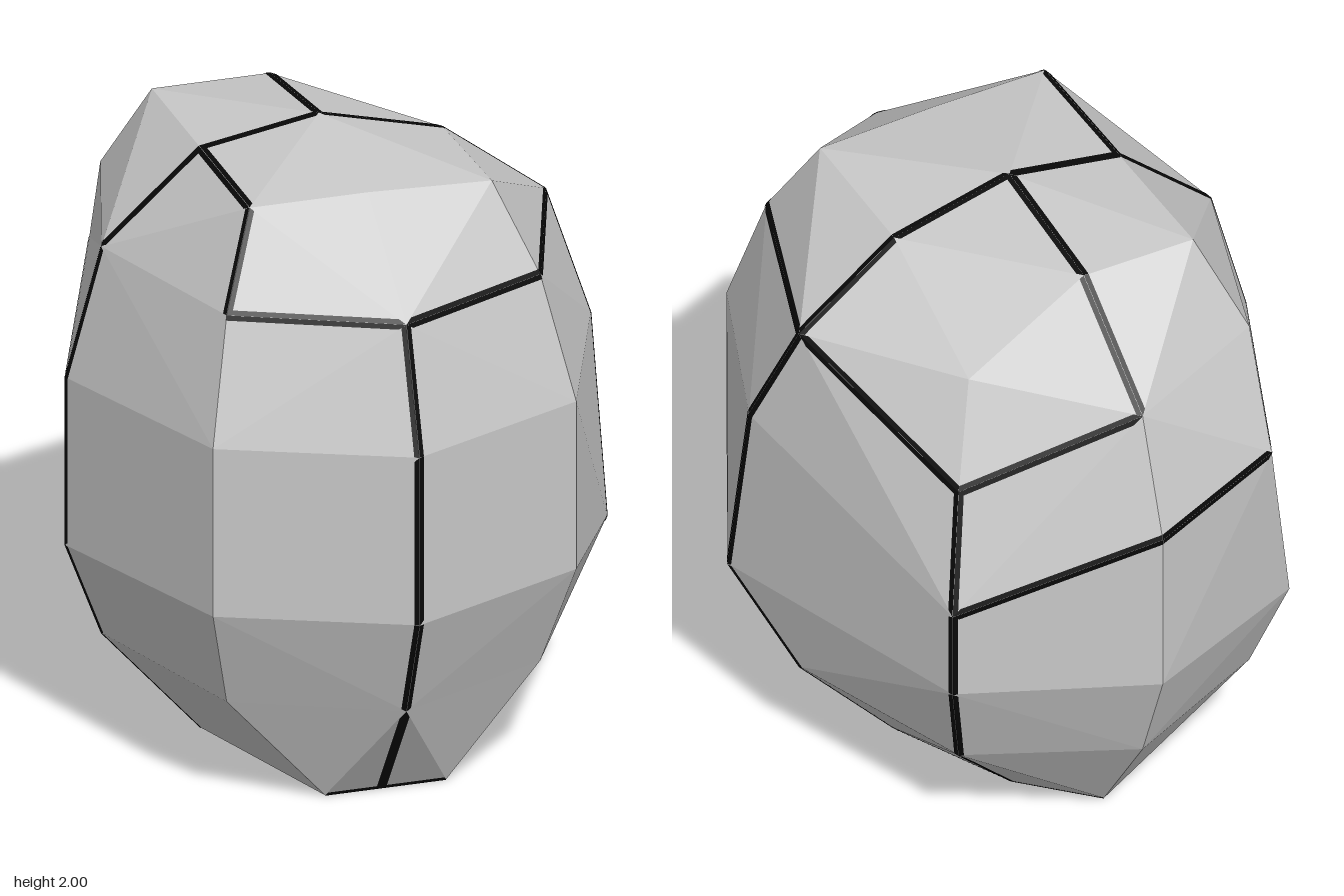
import * as THREE from 'three';

// Rings from bottom to top; columns go front, front +x, +x, back +x, back, back -x, -x, front -x.
const COLS = ['F', 'FL', 'L', 'BL', 'B', 'BR', 'R', 'FR'];
const RINGS = [
  // height, centre front/back z, corner x on +x / -x, corner z, side x on +x / -x
  { y: 0.0, zc: 0.61, xl: 0.19, xr: -0.2, zd: 0.61, sl: 0.38, sr: -0.4 },
  { y: 0.36, zc: 0.86, xl: 0.49, xr: -0.52, zd: 0.62, sl: 0.71, sr: -0.72 },
  { y: 0.7, zc: 0.99, xl: 0.57, xr: -0.6, zd: 0.73, sl: 0.81, sr: -0.83 },
  { y: 1.26, zc: 0.99, xl: 0.57, xr: -0.6, zd: 0.73, sl: 0.81, sr: -0.83 },
  { y: 1.65, zc: 0.86, xl: 0.49, xr: -0.52, zd: 0.62, sl: 0.71, sr: -0.72 },
  { y: 1.935, zc: 0.48, xl: 0.38, xr: -0.4, zd: 0.48, sl: 0.38, sr: -0.4 },
];

// Corners pulled away from the regular rings
const MOVED = {
  BL0: [0.19, 0, -0.4], BR0: [-0.2, 0, -0.4],
  L2: [0.83, 0.64, 0.24], R2: [-0.83, 0.66, -0.02], BR2: [-0.6, 0.68, -0.73],
  L3: [0.81, 1.28, 0.14], R3: [-0.83, 1.22, -0.02],
  BL3: [0.57, 1.0, -0.73], BR3: [-0.49, 1.31, -0.82],
  BL4: [0.49, 1.38, -0.62],
  BL5: [0.38, 1.68, -0.48], L5: [0.38, 1.9, 0], FL5: [0.38, 1.92, 0.48],
};

// Edges that carry a dark seam
const SEAMS = [
  'F0 F1 F2 F3 F4',
  'FR4 F4 FL4 L4',
  'FR4 FR5 R5',
  'R3 R4 R5 T L5 L4',
  'R0 R1 R2 R3',
  'T B5 B4 BL4 L4',
  'BL3 B3 BR3 R3',
  'BL4 BL3 BL2 BL1 BL0',
  'L4 L3 L2 L1 L0',
  'L0 BL0 B0',
  'FR0 F0 FL0',
];

function makePoints() {
  const p = { T: new THREE.Vector3(-0.02, 2, 0), C: new THREE.Vector3(-0.01, 0, 0) };
  RINGS.forEach((r, i) => {
    const spots = [
      [-0.02, r.zc], [r.xl, r.zd], [r.sl, 0], [r.xl, -r.zd],
      [-0.02, -r.zc], [r.xr, -r.zd], [r.sr, 0], [r.xr, r.zd],
    ];
    spots.forEach(([x, z], c) => { p[COLS[c] + i] = new THREE.Vector3(x, r.y, z); });
  });
  for (const k in MOVED) p[k].set(...MOVED[k]);
  return p;
}

// Split a quad along the diagonal that bulges outward
function splitQuad(p, [a, b, c, d]) {
  const core = new THREE.Vector3(0, 1, 0);
  const out = (m, n) => p[m].clone().add(p[n]).multiplyScalar(0.5).distanceTo(core);
  return out(a, c) >= out(b, d) ? [[a, b, c], [a, c, d]] : [[a, b, d], [b, c, d]];
}

function makeTriangles(p) {
  const tris = [];
  for (let r = 0; r < 5; r++) {
    for (let c = 0; c < 8; c++) {
      const m = COLS[c], n = COLS[(c + 1) % 8];
      tris.push(...splitQuad(p, [m + r, n + r, n + (r + 1), m + (r + 1)]));
    }
  }
  // top and bottom caps, four quads each
  for (let c = 0; c < 8; c += 2) {
    const [m, n, o] = [COLS[c], COLS[c + 1], COLS[(c + 2) % 8]];
    tris.push(...splitQuad(p, [m + 5, n + 5, o + 5, 'T']));
    tris.push(['C', n + 0, m + 0], ['C', o + 0, n + 0]);
  }
  return tris;
}

function toGeometry(vectors) {
  const g = new THREE.BufferGeometry().setFromPoints(vectors);
  g.computeVertexNormals();
  return g;
}

// Thin strips lying on both faces beside every seam edge
function makeSeams(p, tris, width) {
  const marked = new Set();
  for (const path of SEAMS) {
    const k = path.split(' ');
    for (let i = 1; i < k.length; i++) marked.add(k[i - 1] + '-' + k[i]).add(k[i] + '-' + k[i - 1]);
  }
  const verts = [];
  for (const t of tris) {
    const normal = new THREE.Triangle(p[t[0]], p[t[1]], p[t[2]]).getNormal(new THREE.Vector3());
    for (let i = 0; i < 3; i++) {
      const [ka, kb, kc] = [t[i], t[(i + 1) % 3], t[(i + 2) % 3]];
      if (!marked.has(ka + '-' + kb)) continue;
      const a = p[ka], b = p[kb], c = p[kc];
      const along = b.clone().sub(a);
      const height = along.clone().cross(c.clone().sub(a)).length() / along.length();
      const f = Math.min(0.9, width / height);
      const quad = [a.clone(), b.clone(), b.clone().lerp(c, f), a.clone().lerp(c, f)];
      quad.forEach((v) => v.addScaledVector(normal, 0.002));
      verts.push(quad[0], quad[1], quad[2], quad[0], quad[2], quad[3]);
    }
  }
  return toGeometry(verts);
}

export function createModel() {
  const stone = new THREE.MeshStandardMaterial({ color: 0xc8c8c8, flatShading: true });
  stone.name = 'stone grey';
  const dark = new THREE.MeshStandardMaterial({ color: 0x080808, side: THREE.DoubleSide });
  dark.name = 'seam black';

  const points = makePoints();
  const tris = makeTriangles(points);

  // faceted boulder
  const body = new THREE.Mesh(toGeometry(tris.flat().map((k) => points[k])), stone);
  body.name = 'boulder';

  // dark cracks along the edges
  const seams = new THREE.Mesh(makeSeams(points, tris, 0.016), dark);
  seams.name = 'cracks';

  const group = new THREE.Group();
  group.name = 'facetedBoulder';
  group.add(body, seams);
  return group;
}
